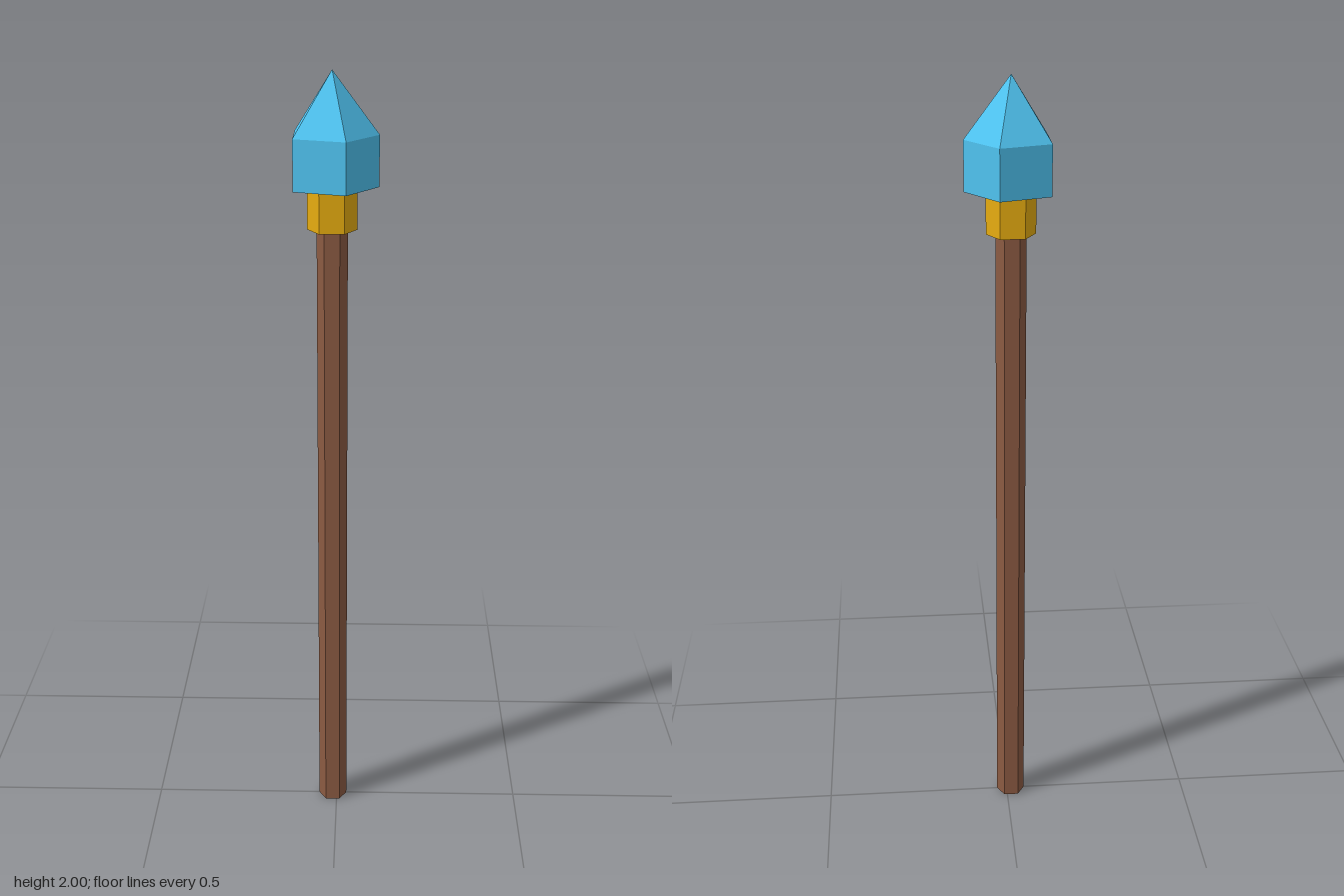
import * as THREE from 'three';

export function createModel() {
  const group = new THREE.Group();
  const axisX = -0.011;

  // Upright faceted prism or cone with one corner pointing along +x
  function addPrism(name, rTop, rBottom, y0, y1, sides, material, open = false) {
    const geometry = new THREE.CylinderGeometry(rTop, rBottom, y1 - y0, sides, 1, open);
    geometry.rotateY(Math.PI / 2);
    const mesh = new THREE.Mesh(geometry, material);
    mesh.name = name;
    mesh.position.set(axisX, (y0 + y1) / 2, 0);
    group.add(mesh);
  }

  const paint = (color) => new THREE.MeshStandardMaterial({ color, flatShading: true });
  const wood = paint(0x8b5a42);
  const gold = paint(0xe6ac10);
  const crystal = paint(0x4fc3f0);

  // Six-sided shaft and collar
  addPrism('shaft', 0.038, 0.038, 0, 1.622, 6, wood);
  addPrism('collar', 0.061, 0.061, 1.622, 1.726, 6, gold);

  // Five-sided crystal with a pointed tip
  addPrism('crystalBase', 0.1133, 0.1133, 1.726, 1.85, 5, crystal);
  addPrism('crystalTip', 0, 0.1133, 1.85, 2, 5, crystal, true);

  return group;
}
